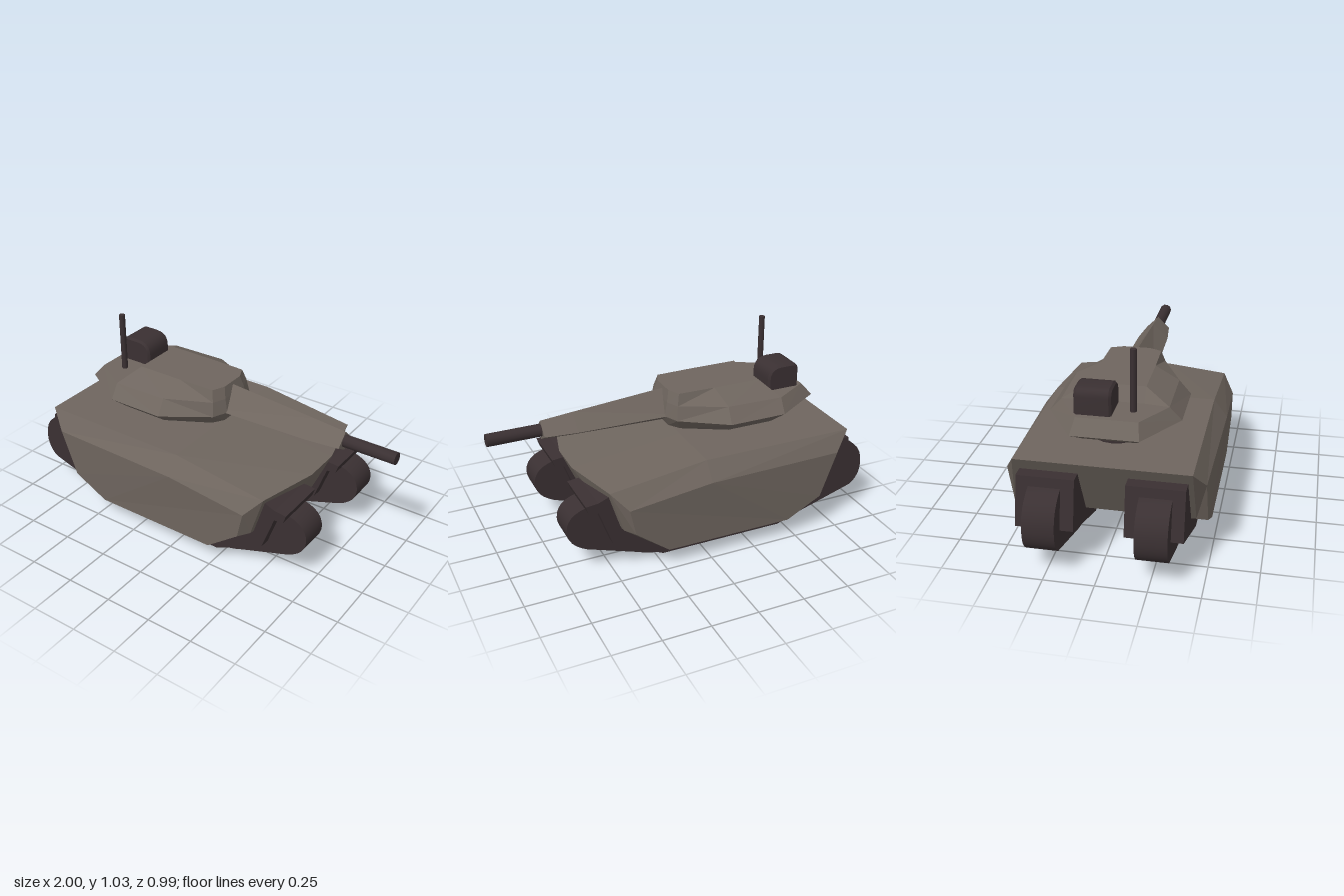
import * as THREE from 'three';
import { toCreasedNormals } from 'three/addons/utils/BufferGeometryUtils.js';

// Skin through rings of equal point count, closed by caps; rings run clockwise seen from the last end.
function loft(rings) {
  const pos = [];
  const tri = (...pts) => pts.forEach((p) => pos.push(...p));
  const n = rings[0].length;
  for (let k = 0; k < rings.length - 1; k++) {
    for (let i = 0; i < n; i++) {
      const j = (i + 1) % n;
      const a = rings[k][i], b = rings[k][j], c = rings[k + 1][j], d = rings[k + 1][i];
      if (i < n / 2) { tri(a, d, b); tri(b, d, c); } else { tri(a, d, c); tri(a, c, b); }
    }
  }
  const cap = (r, flip) => {
    const put = (a, b, c) => (flip ? tri(a, c, b) : tri(a, b, c));
    for (let i = 0; i < Math.floor(n / 2); i++) {
      const m = n - 1 - i;
      if (i + 1 < m) put(r[i], r[i + 1], r[m]);
      if (m - 1 > i + 1) put(r[i + 1], r[m - 1], r[m]);
    }
  };
  cap(rings[0], false);
  cap(rings[rings.length - 1], true);
  const g = new THREE.BufferGeometry();
  g.setAttribute('position', new THREE.Float32BufferAttribute(pos, 3));
  g.computeVertexNormals();
  return g;
}

// Side profile in x/y pushed along z from z0 to z1
function slab(shape, z0, z1) {
  const g = new THREE.ExtrudeGeometry(shape, { depth: z1 - z0, bevelEnabled: false, curveSegments: 6 });
  return g.translate(0, 0, z0);
}

export function createModel() {
  const armour = new THREE.MeshStandardMaterial({ color: 0x6e655e });
  armour.name = 'armour';
  const dark = new THREE.MeshStandardMaterial({ color: 0x3a3032 });
  dark.name = 'darkMetal';
  const model = new THREE.Group();
  model.name = 'tank';
  const add = (name, geometry, material) => {
    const mesh = new THREE.Mesh(geometry, material);
    mesh.name = name;
    model.add(mesh);
    return mesh;
  };

  // Hull: x/y profiles lofted across the width
  const keel = [[0.23, 0.1], [-0.46, 0.1], [-0.65, 0.2]];
  const outer = [[-0.74, 0.44, 0.48], [0, 0.44, 0.495], [0.44, 0.38, 0.485], [0.41, 0.24, 0.485],
    ...keel.map((p) => [...p, 0.482])];
  const shoulder = [[-0.83, 0.535], [0, 0.535], [0.52, 0.465], [0.45, 0.24], ...keel].map((p) => [...p, 0.425]);
  const middle = [[-0.83, 0.535], [0, 0.535], [0.6, 0.465], [0.5, 0.24], ...keel].map((p) => [...p, 0.1]);
  const flipZ = (ring) => ring.map(([x, y, z]) => [x, y, -z]);
  add('hull', loft([flipZ(outer), flipZ(shoulder), flipZ(middle), middle, shoulder, outer]), armour);

  // Track housings and tracks, one pair per side
  const housing = new THREE.Shape([[-0.86, 0.47], [-0.905, 0.22], [-0.45, 0.03], [0.23, 0.03], [0.5, 0.16],
    [0.57, 0.355], [0.62, 0.36], [0.635, 0.405], [0.57, 0.412], [0.5, 0.44], [-0.7, 0.47]]
    .map((p) => new THREE.Vector2(...p)));
  const track = new THREE.Shape();
  track.moveTo(-0.86, 0.425);
  track.bezierCurveTo(-0.96, 0.39, -1, 0.34, -1, 0.25);
  track.quadraticCurveTo(-1, 0.17, -0.94, 0.13);
  track.lineTo(-0.58, 0.02);
  track.quadraticCurveTo(-0.52, 0, -0.45, 0);
  track.lineTo(0.2, 0);
  track.quadraticCurveTo(0.27, 0, 0.34, 0.03);
  track.lineTo(0.62, 0.125);
  track.quadraticCurveTo(0.72, 0.17, 0.72, 0.25);
  track.quadraticCurveTo(0.72, 0.34, 0.61, 0.365);
  track.lineTo(0.5, 0.37);
  for (const side of [1, -1]) {
    const span = (a, b) => (side > 0 ? [a, b] : [-b, -a]);
    const g = slab(housing, ...span(0.12, 0.4));
    const p = g.attributes.position;
    // inner lower edge is lifted
    for (let i = 0; i < p.count; i++) {
      if (Math.abs(p.getZ(i)) < 0.13 && p.getY(i) < 0.05) p.setY(i, 0.06);
    }
    g.computeVertexNormals();
    const label = side > 0 ? 'Front' : 'Back';
    add('trackHousing' + label, g, dark);
    add('track' + label, toCreasedNormals(slab(track, ...span(0.185, 0.34)), 0.5), dark);
  }

  // Turret ring
  const ring = new THREE.CylinderGeometry(0.24, 0.24, 0.08, 24).scale(1, 1, 0.69).translate(-0.35, 0.56, 0);
  add('turretRing', ring, dark);

  // Turret: half outlines [x, z] from rear to front, mirrored and stacked upward
  const level = (y, half) => {
    const pts = half.map(([x, z, h = y]) => [x, h, -z]);
    return [...pts, ...pts.map(([x, h, z]) => [x, h, -z]).reverse()];
  };
  add('turret', loft([
    level(0.58, [[-0.65, 0.13], [-0.46, 0.25], [-0.21, 0.25], [0.01, 0.13], [0.05, 0.07]]),
    level(0.645, [[-0.76, 0.165], [-0.5, 0.325], [-0.19, 0.325], [0.045, 0.17], [0.08, 0.09]]),
    level(0.72, [[-0.7, 0.15, 0.714], [-0.51, 0.265, 0.714], [-0.2, 0.265], [0.035, 0.155], [0.065, 0.085]]),
    level(0.78, [[-0.495, 0.14, 0.714], [-0.44, 0.14], [-0.18, 0.14], [0.02, 0.135], [0.05, 0.07]]),
  ]), armour);

  // Gun shroud with a diamond section, then the barrel
  const diamond = (x, top, bottom, w) => [[x, top, 0], [x, 0.645, -w], [x, bottom, 0], [x, 0.645, w]];
  add('gunShroud', loft([diamond(0, 0.77, 0.583, 0.1), diamond(0.55, 0.725, 0.598, 0.084),
    diamond(0.72, 0.71, 0.607, 0.065)]), armour);
  const barrel = new THREE.CylinderGeometry(0.033, 0.033, 0.32, 10).rotateZ(-Math.PI / 2);
  add('barrel', toCreasedNormals(barrel, 0.8), dark).position.set(0.84, 0.658, 0);

  // Sight box with a rounded top
  const sight = new THREE.Shape();
  sight.moveTo(-0.66, 0.7);
  sight.lineTo(-0.5, 0.7);
  sight.lineTo(-0.5, 0.77);
  sight.quadraticCurveTo(-0.5, 0.835, -0.565, 0.835);
  sight.lineTo(-0.63, 0.835);
  sight.quadraticCurveTo(-0.66, 0.835, -0.66, 0.8);
  const sightBox = new THREE.ExtrudeGeometry(sight,
    { depth: 0.156, bevelThickness: 0.012, bevelSize: 0.01, bevelSegments: 1, curveSegments: 5 });
  add('sightBox', toCreasedNormals(sightBox.translate(0, 0, -0.153), 0.5), dark);

  // Antenna
  add('antenna', new THREE.CylinderGeometry(0.016, 0.016, 0.33, 8), dark).position.set(-0.587, 0.865, 0.105);
  return model;
}
